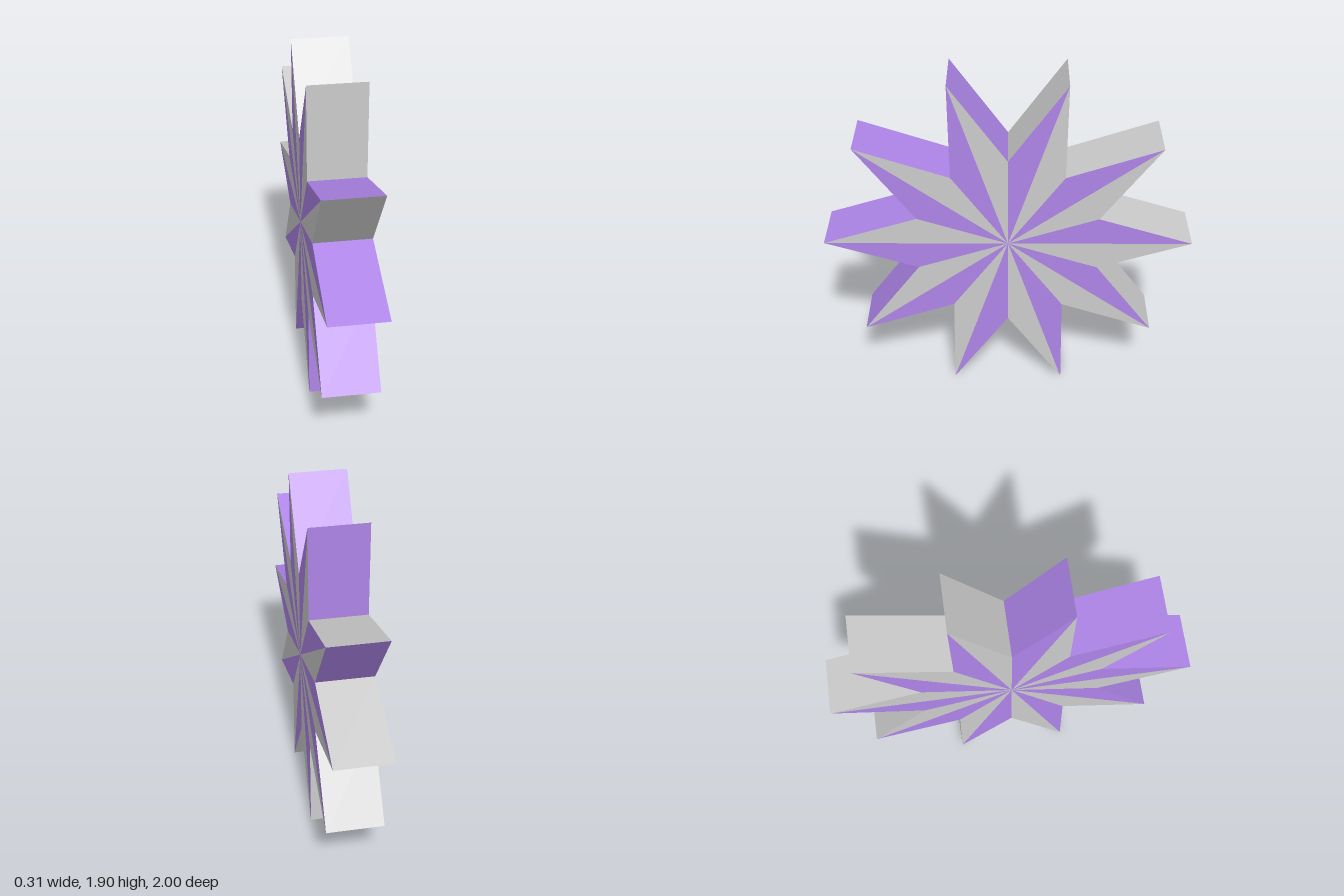
import * as THREE from 'three';

const POINTS = 10, OUTER = 1, INNER = 0.515, HALF = 0.157;
const CENTRE_Y = Math.sin(Math.PI * 0.6); // lowest tips rest on y = 0

const materials = [
  new THREE.MeshStandardMaterial({ color: 0xcccccc }),
  new THREE.MeshStandardMaterial({ color: 0xae85e8 }),
];
const shades = ['Grey', 'Purple'];

// Rim corner k of the star: even corners are tips, odd ones are notches.
function corner(k, x) {
  const r = k % 2 ? INNER : OUTER;
  const a = (k * Math.PI) / POINTS;
  return new THREE.Vector3(x, CENTRE_Y + r * Math.sin(a), r * Math.cos(a));
}

function facetMesh(points, name, material) {
  const geometry = new THREE.BufferGeometry().setFromPoints(points);
  geometry.computeVertexNormals(); // unshared corners give flat facets
  const mesh = new THREE.Mesh(geometry, material);
  mesh.name = name;
  return mesh;
}

export function createModel() {
  const star = new THREE.Group();
  star.name = 'star';
  const hub = (x) => new THREE.Vector3(x, CENTRE_Y, 0);

  for (let shade = 0; shade < 2; shade++) {
    const faceA = [], faceB = [], rim = [];
    for (let k = 0; k < POINTS * 2; k++) {
      const a1 = corner(k, HALF), b1 = corner(k + 1, HALF);
      const a0 = corner(k, -HALF), b0 = corner(k + 1, -HALF);
      // the +x face alternates; the rim and -x face take the opposite shade
      if (k % 2 === shade) faceA.push(hub(HALF), b1, a1);
      else {
        faceB.push(hub(-HALF), a0, b0);
        rim.push(a0, a1, b1, a0, b1, b0);
      }
    }
    star.add(
      facetMesh(faceA, 'leftFace' + shades[shade], materials[shade]),
      facetMesh(faceB, 'rightFace' + shades[shade], materials[shade]),
      facetMesh(rim, 'rim' + shades[shade], materials[shade]),
    );
  }
  return star;
}
